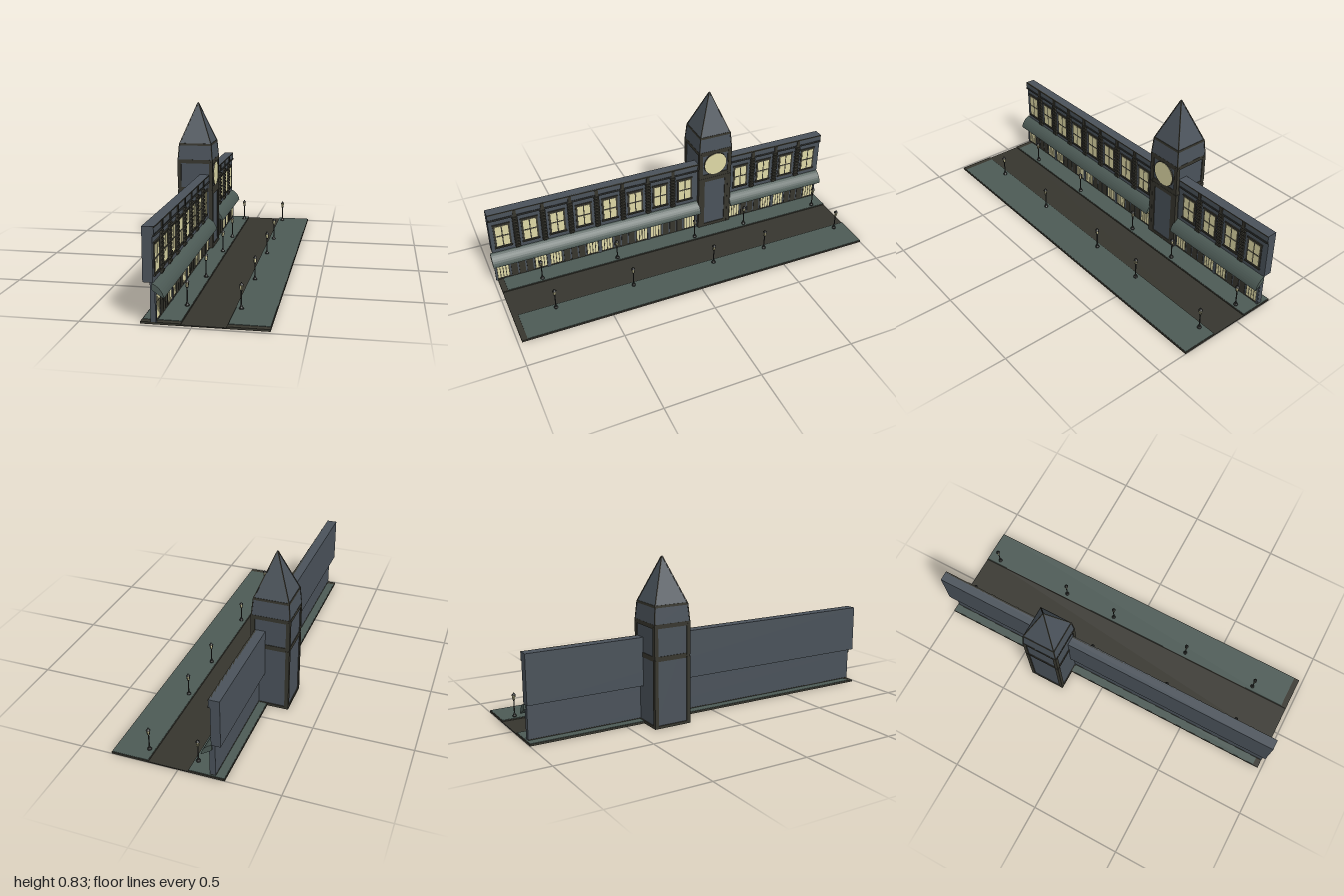
import * as THREE from 'three';

const paint = (color, flat = true) => new THREE.MeshStandardMaterial({ color, flatShading: flat, side: THREE.DoubleSide });
const wall = paint(0x4a525a), trim = paint(0x37362e), green = paint(0x4c5a55);
const road = paint(0x36352e), lit = paint(0xded8a6), dark = paint(0x2e302e);

function add(parent, name, geo, mat, x = 0, y = 0, z = 0) {
  const m = new THREE.Mesh(geo, mat);
  m.name = name;
  m.position.set(x, y, z);
  parent.add(m);
  return m;
}

// Box given by its limits on each axis
function box(parent, name, mat, x0, x1, y0, y1, z0, z1) {
  return add(parent, name, new THREE.BoxGeometry(x1 - x0, y1 - y0, z1 - z0), mat,
    (x0 + x1) / 2, (y0 + y1) / 2, (z0 + z1) / 2);
}

// Square bar between two points
function bar(parent, name, a, b, t) {
  const d = b.clone().sub(a);
  const m = add(parent, name, new THREE.BoxGeometry(t, d.length(), t), trim);
  m.position.copy(a).add(b).multiplyScalar(0.5);
  m.quaternion.setFromUnitVectors(new THREE.Vector3(0, 1, 0), d.normalize());
}

function group(parent, name, x = 0, y = 0, z = 0) {
  const g = new THREE.Group();
  g.name = name;
  g.position.set(x, y, z);
  parent.add(g);
  return g;
}

// Four-sided frustum with flat sides facing the axes
function frustum(parent, name, bottom, top, y0, y1, mat) {
  const r = Math.SQRT2;
  add(parent, name, new THREE.CylinderGeometry(top * r, bottom * r, y1 - y0, 4, 1).rotateY(Math.PI / 4),
    mat, 0, (y0 + y1) / 2, 0);
}

function buildStreet(root) {
  const g = group(root, 'street');
  box(g, 'road', road, -0.06, 0.16, 0, 0.005, -1, 0.98);
  for (const [x0, x1] of [[-0.23, -0.05], [0.15, 0.34]]) {
    box(g, 'curb', trim, x0, x1, 0, 0.01, -1, 0.98);
    box(g, 'pavement', green, x0 + 0.003, x1 - 0.003, 0.008, 0.012, -0.997, 0.95);
  }
}

function buildLamp(root, x, z) {
  const g = group(root, 'streetLamp', x, 0.012, z);
  const base = [[0, 0], [0.011, 0], [0.011, 0.005], [0.007, 0.01], [0.004, 0.018], [0.003, 0.022],
    [0.003, 0.084], [0.006, 0.087], [0.006, 0.09], [0, 0.09]].map(p => new THREE.Vector2(...p));
  add(g, 'lampPost', new THREE.LatheGeometry(base, 8), dark);
  add(g, 'lampGlass', new THREE.CylinderGeometry(0.009, 0.006, 0.024, 6), lit, 0, 0.102, 0);
  for (let i = 0; i < 6; i++) {
    const a = i * Math.PI / 3, c = Math.sin(a), s = Math.cos(a);
    bar(g, 'lampRib', new THREE.Vector3(c * 0.006, 0.09, s * 0.006), new THREE.Vector3(c * 0.0092, 0.114, s * 0.0092), 0.0015);
  }
  add(g, 'lampCap', new THREE.CylinderGeometry(0.003, 0.012, 0.009, 6), dark, 0, 0.118, 0);
  add(g, 'lampFinial', new THREE.SphereGeometry(0.003, 6, 4), dark, 0, 0.124, 0);
}

function buildTower(root) {
  const g = group(root, 'clockTower', -0.24, 0, -0.3);
  box(g, 'towerCore', wall, -0.095, 0.095, 0, 0.51, -0.095, 0.095);
  for (const sx of [-1, 1]) for (const sz of [-1, 1]) {
    for (const [y0, y1] of [[0, 0.345], [0.355, 0.51]])
      box(g, 'cornerPost', trim, sx * 0.09 - 0.01, sx * 0.09 + 0.01, y0, y1, sz * 0.09 - 0.01, sz * 0.09 + 0.01);
    // Ridge trims on the tapered storey and spire
    const v = (h, y) => new THREE.Vector3(sx * h, y, sz * h);
    bar(g, 'taperEdge', v(0.098, 0.51), v(0.09, 0.607), 0.005);
    bar(g, 'spireEdge', v(0.09, 0.607), v(0.001, 0.832), 0.005);
  }
  for (const [y0, y1, h] of [[0, 0.014, 0.1], [0.338, 0.362, 0.098], [0.5, 0.521, 0.0995]])
    box(g, 'towerBand', trim, -h, h, y0, y1, -h, h);
  frustum(g, 'taperedStorey', 0.099, 0.09, 0.515, 0.608, wall);
  frustum(g, 'spireBand', 0.0915, 0.0905, 0.6, 0.612, trim);
  frustum(g, 'spire', 0.09, 0.0005, 0.608, 0.835, wall);

  // Deeper frames on the street face, each an extruded plate with a hole
  for (const [y0, y1, a, b, c] of [[0.01, 0.345, 0.063, 0.03, 0.322], [0.355, 0.51, 0.077, 0.37, 0.494]]) {
    const s = new THREE.Shape([[-0.09, y0], [0.09, y0], [0.09, y1], [-0.09, y1]].map(p => new THREE.Vector2(...p)));
    s.holes.push(new THREE.Path([[-a, b], [-a, c], [a, c], [a, b]].map(p => new THREE.Vector2(...p))));
    add(g, 'streetFrame', new THREE.ExtrudeGeometry(s, { depth: 0.005, bevelEnabled: false }).rotateY(Math.PI / 2), trim, 0.094);
  }
  const disc = (r, d) => new THREE.CylinderGeometry(r, r, d, 40).rotateZ(Math.PI / 2);
  add(g, 'clockRim', disc(0.07, 0.006), trim, 0.0975, 0.432, 0);
  add(g, 'clockFace', disc(0.066, 0.006), lit, 0.0985, 0.432, 0);
}

// Upper window: two columns and two rows of panes
function buildWindow(parent, z) {
  const g = group(parent, 'upperWindow', -0.168, 0, z);
  box(g, 'windowFrame', trim, 0, 0.003, 0.218, 0.36, -0.045, 0.045);
  box(g, 'windowSill', trim, 0, 0.007, 0.213, 0.221, -0.048, 0.048);
  box(g, 'windowHead', trim, 0, 0.006, 0.357, 0.364, -0.048, 0.048);
  for (const c of [-0.019, 0.019]) {
    for (const [y0, y1] of [[0.227, 0.285], [0.293, 0.35]])
      box(g, 'windowPane', lit, 0.001, 0.0045, y0, y1, c - 0.016, c + 0.016);
  }
}

// Shopfront: barred windows either side of dark doors
function buildShop(parent, z) {
  const g = group(parent, 'shopfront', -0.16, 0, z);
  for (const s of [-1, 1]) {
    box(g, 'shopFrame', trim, 0, 0.002, 0.012, 0.145, s * 0.105 - 0.036, s * 0.105 + 0.036);
    for (let i = 0; i < 4; i++) {
      const c = s * 0.105 + (i - 1.5) * 0.016;
      for (const [y0, y1] of [[0.022, 0.095], [0.1, 0.132]])
        box(g, 'shopPane', lit, 0, 0.0035, y0, y1, c - 0.006, c + 0.006);
    }
    box(g, 'shopPost', wall, 0, 0.006, 0.01, 0.15, s * 0.144 - 0.005, s * 0.144 + 0.005);
  }
  for (let i = -1; i <= 1; i++)
    box(g, 'shopDoor', trim, 0, 0.003, 0.014, 0.13, i * 0.043 - 0.017, i * 0.043 + 0.017);
}

function buildTerrace(root) {
  const g = group(root, 'terrace');
  box(g, 'lowerWall', wall, -0.183, -0.16, 0, 0.168, -0.99, 0.98);
  box(g, 'upperWall', wall, -0.214, -0.168, 0.19, 0.437, -1, 0.986);
  box(g, 'floorBand', wall, -0.183, -0.168, 0.16, 0.192, -0.99, 0.98);
  box(g, 'cornice', wall, -0.17, -0.161, 0.402, 0.437, -1, 0.986);
  box(g, 'corniceLine', dark, -0.17, -0.158, 0.393, 0.403, -1, 0.986);
  box(g, 'parapetCap', trim, -0.17, -0.159, 0.431, 0.437, -1, 0.986);
  box(g, 'plinth', trim, -0.184, -0.157, 0, 0.016, -0.99, 0.98);

  // Curved awning, broken by the tower
  const s = new THREE.Shape();
  s.moveTo(-0.17, 0.189);
  s.bezierCurveTo(-0.145, 0.183, -0.121, 0.155, -0.117, 0.126);
  s.quadraticCurveTo(-0.145, 0.142, -0.17, 0.161);
  for (const [z0, z1] of [[-1, -0.395], [-0.205, 0.998]])
    add(g, 'awning', new THREE.ExtrudeGeometry(s, { depth: z1 - z0, bevelEnabled: false, curveSegments: 8 }), green, 0, 0, z0);

  const firsts = [[0.92, 8], [-0.475, 4]];
  for (const [z0, n] of firsts) for (let i = 0; i < n; i++) {
    const z = z0 - i * 0.149;
    buildWindow(g, z);
    if (i === n - 1) continue;
    // Ribbed pilaster between neighbouring windows
    const p = group(g, 'pilaster', -0.168, 0, z - 0.0745);
    box(p, 'pilasterShaft', trim, 0, 0.007, 0.19, 0.395, -0.01, 0.01);
    for (let k = 0; k < 10; k++)
      box(p, 'pilasterBlock', trim, 0, 0.014, 0.198 + k * 0.02, 0.209 + k * 0.02, -0.014, 0.014);
    box(p, 'corniceBracket', trim, 0, 0.012, 0.395, 0.435, -0.009, 0.009);
  }
  for (const z of [0.84, 0.545, 0.25, -0.045, -0.545, -0.84]) buildShop(g, z);
}

export function createModel() {
  const root = new THREE.Group();
  root.name = 'clockTowerStreet';
  buildStreet(root);
  buildTerrace(root);
  buildTower(root);
  for (const x of [-0.071, 0.179])
    for (const z of [-0.925, -0.46, -0.145, 0.327, 0.757]) buildLamp(root, x, z);
  return root;
}
